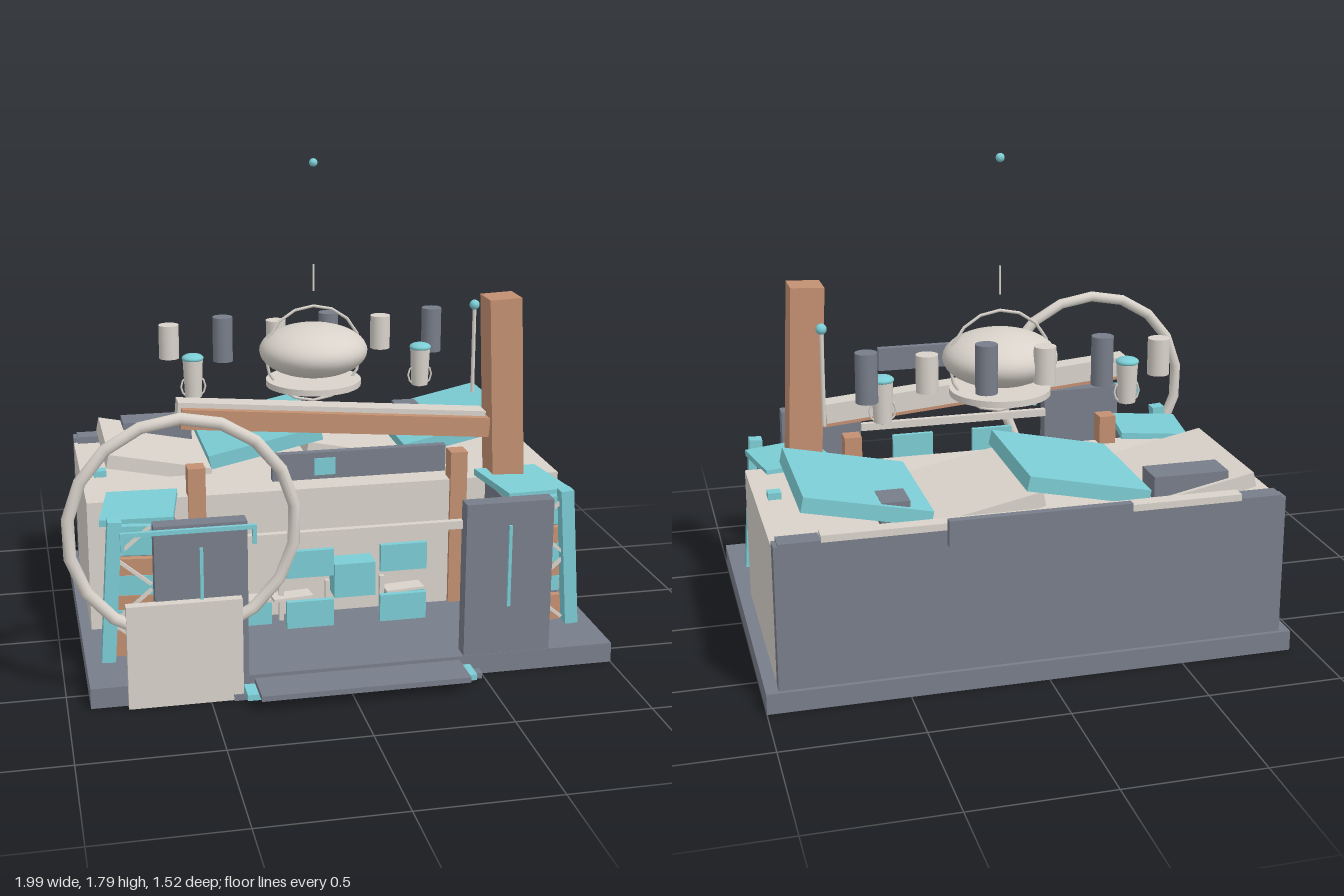
import * as THREE from 'three';

const mat = (color, flatShading = false) => new THREE.MeshStandardMaterial({ color, flatShading });
const BEIGE = mat(0xd8d2ca), GREY = mat(0x787e8a), CYAN = mat(0x7ccdd5), BROWN = mat(0xc39072);
const MID = 0.04; // centre line of the building

export function createModel() {
  const root = new THREE.Group();

  const add = (name, geo, m, x, y, z, rx = 0, ry = 0, rz = 0) => {
    const mesh = new THREE.Mesh(geo, m);
    mesh.name = name;
    mesh.position.set(x, y, z);
    mesh.rotation.set(rx, ry, rz);
    root.add(mesh);
    return mesh;
  };
  // box given by its limits on each axis
  const span = (name, m, x0, x1, y0, y1, z0, z1) =>
    add(name, new THREE.BoxGeometry(x1 - x0, y1 - y0, z1 - z0), m, (x0 + x1) / 2, (y0 + y1) / 2, (z0 + z1) / 2);
  // box given by centre, size and rotation
  const box = (name, m, [x, y, z], [w, h, d], [rx, ry, rz] = [0, 0, 0]) =>
    add(name, new THREE.BoxGeometry(w, h, d), m, x, y, z, rx, ry, rz);
  const cyl = (name, m, x, y, z, r, h, r2 = r, n = 20) =>
    add(name, new THREE.CylinderGeometry(r, r2, h, n), m, x, y, z);
  const ball = (name, m, x, y, z, rx, ry) => {
    const s = add(name, new THREE.SphereGeometry(rx, 32, 20), m, x, y, z);
    s.scale.y = ry / rx;
  };

  // platform and inverted front steps
  span('base', GREY, -0.92, 1, 0, 0.075, -0.745, 0.61);
  span('lowerStep', GREY, -0.42, 0.49, 0, 0.022, 0.55, 0.65);
  span('middleStep', CYAN, -0.38, 0.455, 0.02, 0.042, 0.55, 0.7);
  span('upperStep', GREY, -0.34, 0.415, 0.042, 0.062, 0.55, 0.76);

  // main hall, back wall and parapet
  span('hall', BEIGE, -0.88, 0.955, 0.07, 0.58, -0.675, 0.1);
  span('backWall', GREY, -0.88, 0.955, 0.07, 0.6, -0.73, -0.672);
  span('parapet', BEIGE, -0.71, 0.795, 0.6, 0.625, -0.73, -0.675);
  for (const [a, b] of [[-0.865, -0.71], [0.795, 0.94]])
    span('cornerBlock', GREY, a, b, 0.58, 0.608, -0.73, -0.655);
  span('backSign', GREY, -0.29, 0.365, 0.55, 0.645, -0.765, -0.735);

  // sawtooth roof panels
  for (const [x, m, y, w, tilt] of [
    [-0.58, BEIGE, 0.615, 0.41, -0.2], [-0.16, CYAN, 0.672, 0.455, 0.21],
    [0.22, BEIGE, 0.615, 0.44, -0.2], [0.625, CYAN, 0.672, 0.455, 0.21],
  ]) box('roofPanel', m, [x, y, -0.415], [w, 0.055, 0.525], [0, 0, tilt]);
  span('roofUnit', GREY, -0.685, -0.405, 0.6, 0.692, -0.66, -0.535);
  span('roofUnit', GREY, 0.475, 0.575, 0.6, 0.692, -0.66, -0.535);
  for (const x of [-0.807, 0.885]) span('roofLight', CYAN, x - 0.024, x + 0.024, 0.58, 0.605, -0.24, -0.195);

  // brown posts, leaning tower and slipped beam
  for (const x of [-0.47, 0.547]) span('wallPost', BROWN, x - 0.033, x + 0.033, 0.07, 0.692, 0.045, 0.115);
  box('leaningTower', BROWN, [0.733, 0.647, 0.08], [0.125, 1.29, 0.13], [0, 0, 0.042]);
  box('slippedBeam', BROWN, [0.07, 0.836, 0.075], [1.19, 0.075, 0.09], [0, 0, -0.086]);
  box('slippedBeamCap', BEIGE, [0.06, 0.856, 0.05], [1.19, 0.075, 0.08], [0, 0, -0.086]);

  // tall front panels with light strips, joined by a rail
  for (const [x0, x1] of [[-0.685, -0.36], [0.43, 0.755]]) {
    const c = (x0 + x1) / 2;
    span('frontPanel', GREY, x0, x1, 0.07, 0.655, 0.545, 0.608);
    span('lightStrip', CYAN, c - 0.006, c + 0.006, 0.26, 0.57, 0.6, 0.618);
  }
  span('frontRail', BEIGE, -0.36, 0.43, 0.55, 0.58, 0.535, 0.56);
  span('frontSign', GREY, -0.27, 0.345, 0.79, 0.885, 0.575, 0.605);
  span('signSquare', CYAN, -0.125, -0.05, 0.805, 0.865, 0.6, 0.61);

  // hanging plates and their stands
  for (const x of [-0.13, 0.21]) {
    for (const y of [0.463, 0.272]) box('hangingPlate', CYAN, [x, y, 0.56], [0.17, 0.1, 0.02]);
  }
  for (const x of [-0.16, 0.02, 0.235]) span('stand', BEIGE, x - 0.009, x + 0.009, 0.07, 0.225, 0.14, 0.16);

  // counters along the front wall
  for (const [x, turn] of [[-0.28, 0], [0.32, 0.12]]) {
    box('counter', CYAN, [x, 0.118, 0.15], [0.155, 0.095, 0.07], [0, turn, 0]);
    box('counterTop', BEIGE, [x, 0.17, 0.15], [0.155, 0.012, 0.07], [0, turn, 0]);
  }
  box('counterTop', BEIGE, [-0.12, 0.17, 0.15], [0.155, 0.012, 0.07], [0, 0.12, 0]);
  span('crate', CYAN, 0.04, 0.2, 0.165, 0.3, 0.1, 0.195);

  // large broken ring, its panel and a bracket
  const arc = Math.PI * 1.8;
  add('ring', new THREE.TorusGeometry(0.393, 0.022, 10, 16, arc), BEIGE, -0.585, 0.645, 0.617, 0, 0, -Math.PI * 0.4);
  span('ringPanel', BEIGE, -0.79, -0.385, 0, 0.382, 0.605, 0.642);
  span('bracket', CYAN, -0.8, -0.33, 0.63, 0.645, 0.61, 0.625);
  for (const x of [-0.793, -0.337]) span('bracketEnd', CYAN, x - 0.007, x + 0.007, 0.575, 0.64, 0.61, 0.625);

  // side towers, mirrored about the centre line
  for (const s of [-1, 1]) {
    const X = (d) => MID + s * d;
    box('sideTower', GREY, [X(0.73), 0.322, 0.22], [0.23, 0.5, 0.22]);
    box('towerCap', CYAN, [X(0.735), 0.585, 0.195], [0.265, 0.025, 0.29], [0.03, s * 0.17, s * -0.05]);
    box('cornerPost', CYAN, [X(0.86), 0.342, 0.382], [0.05, 0.535, 0.052], [0, 0, s * 0.07]);
    for (const [y, h] of [[0.125, 0.1], [0.255, 0.11], [0.395, 0.11]])
      box('brownBoard', BROWN, [X(0.765), y, 0.35], [0.17, h, 0.03], [0, s * 0.12, 0]);
    for (const [y, h] of [[0.225, 0.06], [0.35, 0.075], [0.52, 0.11]])
      box('cyanBoard', CYAN, [X(0.765), y, 0.352], [0.15, h, 0.03], [0, s * 0.12, 0]);
    [0.15, 0.28, 0.41, 0.52].forEach((y, i) =>
      box('brace', BEIGE, [X(0.78), y, 0.378], [0.17, 0.012, 0.012], [0, 0, i % 2 ? 0.7 : -0.7]));
  }

  // floating dome with disc, hoop, mast and beacon
  ball('dome', BEIGE, MID, 1.045, -0.21, 0.212, 0.102);
  cyl('domeDisc', BEIGE, MID, 0.918, -0.21, 0.187, 0.024, 0.187, 32);
  add('domeHoop', new THREE.TorusGeometry(0.19, 0.006, 6, 16), BEIGE, MID, 1.03, -0.21);
  cyl('mast', BEIGE, MID, 1.332, -0.21, 0.004, 0.105, 0.004, 8);
  ball('beacon', CYAN, MID, 1.775, -0.21, 0.016, 0.016);

  // floating canisters
  for (let i = 0; i < 6; i++) {
    const grey = i % 2;
    cyl('canister', grey ? GREY : BEIGE, -0.505 + i * 0.215, 1.06, -0.398, 0.04, grey ? 0.18 : 0.135);
  }

  // small capped canisters
  for (const x of [-0.425, 0.495]) {
    cyl('smallCanister', BEIGE, x, 0.935, -0.29, 0.04, 0.15, 0.033);
    ball('canisterCap', CYAN, x, 1.015, -0.29, 0.043, 0.018);
    add('canisterHoop', new THREE.TorusGeometry(0.048, 0.004, 6, 12), BEIGE, x, 0.9, -0.29);
  }

  // antenna
  cyl('antennaRod', BEIGE, 0.695, 1.01, -0.215, 0.008, 0.35, 0.008, 8);
  ball('antennaTip', CYAN, 0.695, 1.195, -0.215, 0.02, 0.02);

  return root;
}
